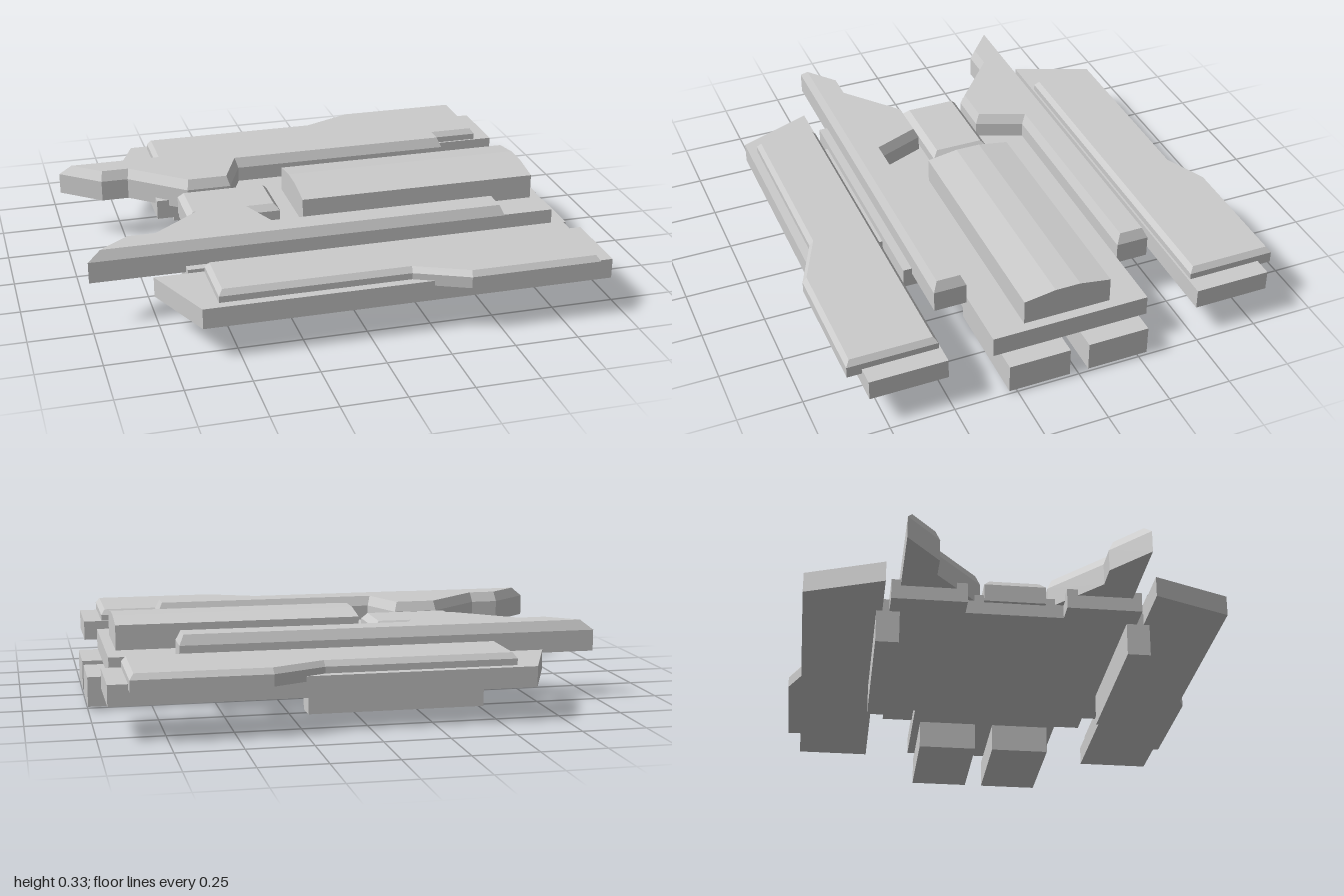
import * as THREE from 'three';

const material = new THREE.MeshStandardMaterial({ color: 0xcccccc, flatShading: true });

// Moves every corner of a counter-clockwise outline inward by d
function insetOutline(pts, d) {
  const n = pts.length;
  const normal = (a, b) => new THREE.Vector2(a.y - b.y, b.x - a.x).normalize();
  return pts.map((p, i) => {
    const n1 = normal(pts[(i + n - 1) % n], p);
    const n2 = normal(p, pts[(i + 1) % n]);
    return p.clone().add(n1.clone().add(n2).multiplyScalar(d / (1 + n1.dot(n2))));
  });
}

// Prism over an (x, z) plan, with a chamfer from shoulder height up to the top
function plate(name, plan, side, bottom, shoulder, top, inset) {
  const pts = plan.map(([x, z]) => new THREE.Vector2(x, z * side));
  if (THREE.ShapeUtils.area(pts) < 0) pts.reverse();
  const loops = [[pts, bottom], [pts, shoulder]];
  if (inset > 0) loops.push([insetOutline(pts, inset), top]);
  const pos = [];
  const put = ([loop, y], i) => pos.push(loop[i].x, y, loop[i].y);
  for (let k = 0; k + 1 < loops.length; k++) {
    const lo = loops[k], hi = loops[k + 1];
    pts.forEach((_, a) => {
      const b = (a + 1) % pts.length;
      put(lo, a); put(hi, a); put(hi, b);
      put(lo, a); put(hi, b); put(lo, b);
    });
  }
  const last = loops[loops.length - 1];
  for (const [a, b, c] of THREE.ShapeUtils.triangulateShape(pts, [])) {
    put(loops[0], a); put(loops[0], b); put(loops[0], c);
    put(last, a); put(last, c); put(last, b);
  }
  const geometry = new THREE.BufferGeometry();
  geometry.setAttribute('position', new THREE.Float32BufferAttribute(pos, 3));
  geometry.computeVertexNormals();
  const mesh = new THREE.Mesh(geometry, material);
  mesh.name = name;
  return mesh;
}

function box(name, x0, x1, y0, y1, z0, z1) {
  const mesh = new THREE.Mesh(new THREE.BoxGeometry(x1 - x0, y1 - y0, z1 - z0), material);
  mesh.position.set((x0 + x1) / 2, (y0 + y1) / 2, (z0 + z1) / 2);
  mesh.name = name;
  return mesh;
}

export function createModel() {
  const model = new THREE.Group();
  model.name = 'hoverCraft';

  // Stepped central hull, notched at the -x end
  const half = [[0.92, 0.315], [0.42, 0.315], [0.42, 0.48], [-0.63, 0.48], [-0.63, 0.19], [-0.54, 0.19]];
  const hull = [...half, ...half.map(([x, z]) => [x, -z]).reverse()];
  model.add(plate('hull', hull, 1, 0.13, 0.21));

  // Long faceted spine on top of the hull
  const section = new THREE.Shape([
    [-0.175, 0.21], [0.175, 0.21], [0.175, 0.31], [0.05, 0.33], [-0.05, 0.33], [-0.175, 0.31],
  ].map(([z, y]) => new THREE.Vector2(z, y)));
  const spine = new THREE.Mesh(
    new THREE.ExtrudeGeometry(section, { depth: 0.98, bevelEnabled: false }), material);
  spine.rotation.y = Math.PI / 2;
  spine.position.x = -0.1;
  spine.name = 'spine';
  model.add(spine);

  // Chamfered cabin block
  const cabin = [[-0.555, -0.12], [-0.18, -0.12], [-0.18, 0.12], [-0.555, 0.12]];
  model.add(plate('cabin', cabin, 1, 0.18, 0.25, 0.275, 0.022));

  const wing = [
    [-1, 0.445], [0.66, 0.445], [0.66, 0.315], [-0.255, 0.315],
    [-0.33, 0.132], [-0.51, 0.132], [-0.73, 0.315], [-0.84, 0.315],
  ];
  const pod = [[-0.765, 0.507], [-0.64, 0.81], [0.962, 0.81], [0.962, 0.507]];
  const armour = [
    [-0.572, 0.515], [0.887, 0.515], [0.887, 0.867], [0.37, 0.867], [0.165, 0.775], [-0.572, 0.775],
  ];

  // Mirrored parts: +z side, then -z side
  for (const side of [1, -1]) {
    const group = new THREE.Group();
    group.name = side > 0 ? 'frontSide' : 'backSide';
    group.add(plate('wing', wing, side, 0.185, 0.27, 0.31, 0.018));
    group.add(plate('pod', pod, side, 0.13, 0.21));
    group.add(plate('podArmour', armour, side, 0.19, 0.235, 0.257, 0.016));
    const mirrored = (name, x0, x1, y0, y1, zIn, zOut) =>
      box(name, x0, x1, y0, y1, Math.min(side * zIn, side * zOut), Math.max(side * zIn, side * zOut));
    group.add(mirrored('skid', -0.52, 0.18, 0, 0.18, 0.44, 0.53));
    group.add(mirrored('engine', 0.545, 1, 0.013, 0.13, 0.038, 0.283));
    model.add(group);
  }
  return model;
}
